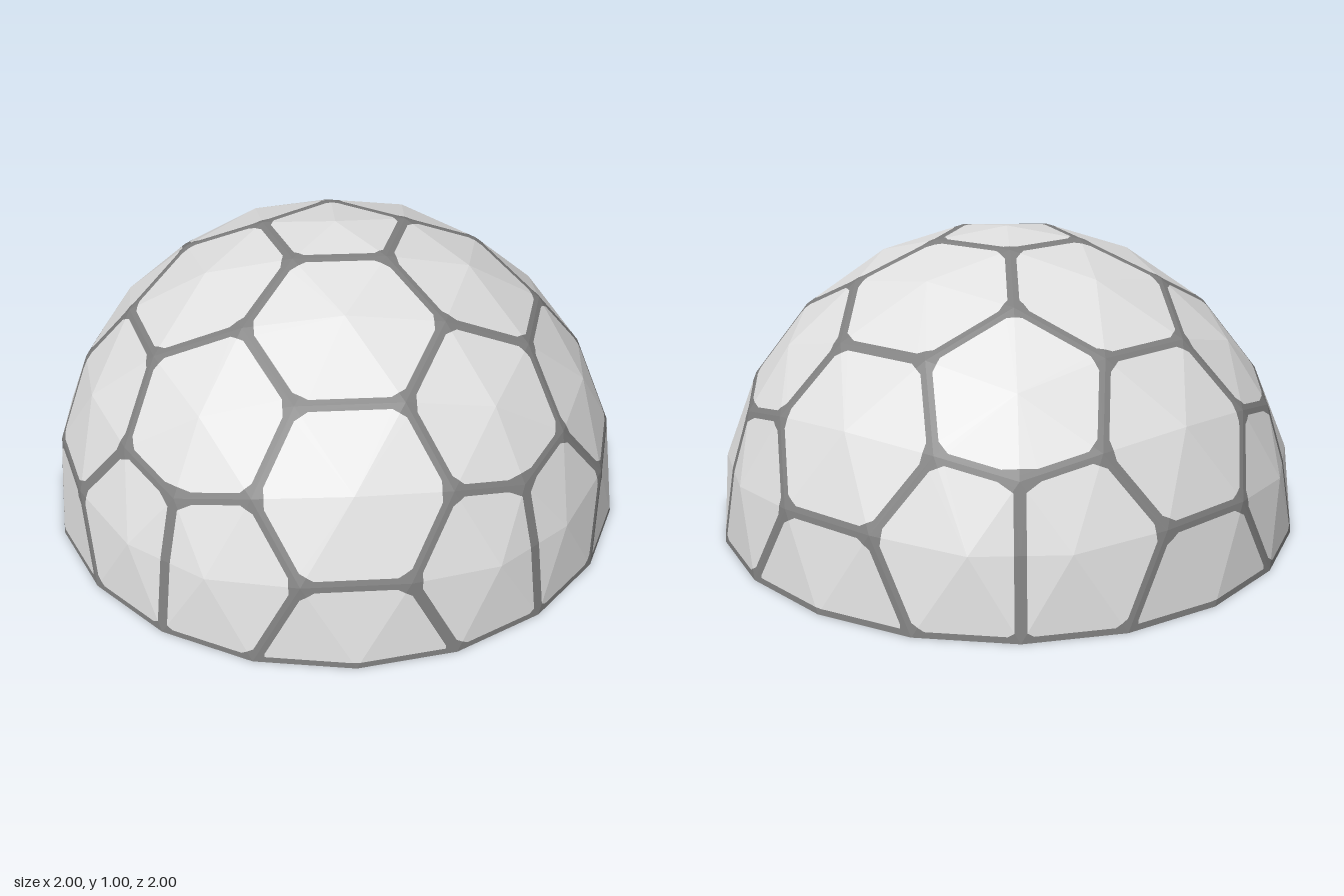
import * as THREE from 'three';

const HALF_STRUT = 0.018;  // half the strut width
const CHAMFER = 0.036;     // how far the struts widen at each joint
const BASE = 0.019;        // height of the base ring

// Split a convex polygon by a plane into the part in front and the part behind
function split(poly, plane) {
  const front = [], back = [];
  poly.forEach((p, i) => {
    const q = poly[(i + 1) % poly.length];
    const dp = plane.distanceToPoint(p), dq = plane.distanceToPoint(q);
    (dp >= 0 ? front : back).push(p);
    if ((dp >= 0) !== (dq >= 0)) {
      const cut = p.clone().lerp(q, dp / (dp - dq));
      front.push(cut);
      back.push(cut);
    }
  });
  return [front, back];
}

// Add a polygon as a triangle fan, facing away from the dome's centre
function addFan(out, poly) {
  for (let i = 1; i < poly.length - 1; i++) {
    const [a, b, c] = [poly[0], poly[i], poly[i + 1]];
    const n = b.clone().sub(a).cross(c.clone().sub(a));
    if (n.length() < 1e-10) continue;
    const tri = n.dot(a) > 0 ? [a, b, c] : [a, c, b];
    tri.forEach(p => out.push(p.x, p.y, p.z));
  }
}

function makeMesh(positions, material, name) {
  const geometry = new THREE.BufferGeometry();
  geometry.setAttribute('position', new THREE.Float32BufferAttribute(positions, 3));
  geometry.computeVertexNormals(); // unshared corners give flat facets
  const mesh = new THREE.Mesh(geometry, material);
  mesh.name = name;
  return mesh;
}

export function createModel() {
  const group = new THREE.Group();
  group.name = 'geodesicDome';
  const panelMaterial = new THREE.MeshStandardMaterial({ color: 0xe0e0e0, side: THREE.DoubleSide });
  panelMaterial.name = 'pale grey panel';
  const strutMaterial = new THREE.MeshStandardMaterial({ color: 0x808080, side: THREE.DoubleSide });
  strutMaterial.name = 'mid grey strut';
  const panels = [], struts = [], baseRing = [];

  // One facet: c is the cell centre, the strut runs along a-b
  function facet(c, a, b, joints = [a, b]) {
    const along = b.clone().sub(a).normalize();
    const inward = c.clone().sub(a);
    inward.addScaledVector(along, -inward.dot(along)).normalize();
    let poly = [c, a, b], cut;
    [poly, cut] = split(poly, new THREE.Plane(new THREE.Vector3(0, 1, 0), -BASE));
    addFan(baseRing, cut);
    const planes = [new THREE.Plane().setFromNormalAndCoplanarPoint(
      inward, a.clone().addScaledVector(inward, HALF_STRUT))];
    for (const j of joints) {
      const toCentre = c.clone().sub(j).normalize();
      planes.push(new THREE.Plane().setFromNormalAndCoplanarPoint(
        toCentre, j.clone().addScaledVector(toCentre, CHAMFER)));
    }
    for (const plane of planes) {
      [poly, cut] = split(poly, plane);
      addFan(struts, cut);
    }
    addFan(panels, poly);
  }

  // Icosahedron corners: one at the top, an upper and a lower ring
  const top = new THREE.Vector3(0, 1, 0);
  const ring = (turn, y) => new THREE.Vector3(
    2 * Math.cos(turn * Math.PI / 5), y, 2 * Math.sin(turn * Math.PI / 5)).divideScalar(Math.sqrt(5));
  const upper = s => ring(2 * s, 1);
  const lower = s => ring(2 * s + 1, -1);

  // Lattice point in sector s, each icosahedron edge divided in four
  function point(s, a, b) {
    const r = a + b, k = Math.max(0, r - 4);
    return new THREE.Vector3()
      .addScaledVector(top, Math.max(0, 4 - r))
      .addScaledVector(upper(s), a - k)
      .addScaledVector(upper(s + 1), b - k)
      .addScaledVector(lower(s), k)
      .normalize();
  }
  const inside = ([a, b]) => a + b <= 6 && a <= 4 && b <= 4;

  for (let s = 0; s < 5; s++) {
    // Cap and downward faces: every third lattice point is a cell centre
    for (let a = 0; a <= 4; a++) for (let b = 0; b <= 4; b++) {
      for (const tri of [[[a, b], [a + 1, b], [a, b + 1]],
                         [[a + 1, b], [a + 1, b + 1], [a, b + 1]]]) {
        if (!tri.every(inside)) continue;
        const i = tri.findIndex(([u, v]) => (u - v) % 3 === 0);
        facet(...[0, 1, 2].map(n => point(s, ...tri[(i + n) % 3])));
      }
    }
    // Upward faces at the foot: two cells meet at an upright strut
    const peak = upper(s);
    const foot = peak.clone().multiplyScalar(2).add(lower(s)).add(lower(s - 1)).normalize();
    const right = point(s, 4, 1), left = point(s - 1, 1, 4);
    const middle = right.clone().lerp(left, 0.5);
    for (const [centre, corner] of [[right, point(s, 4, 2)], [left, point(s - 1, 2, 4)]]) {
      facet(centre, peak, middle, [peak]);
      facet(centre, middle, foot, [foot]);
      facet(centre, foot, corner);
    }
  }

  group.add(makeMesh(panels, panelMaterial, 'panels'));
  group.add(makeMesh(struts, strutMaterial, 'struts'));
  group.add(makeMesh(baseRing, strutMaterial, 'baseRing'));
  return group;
}
